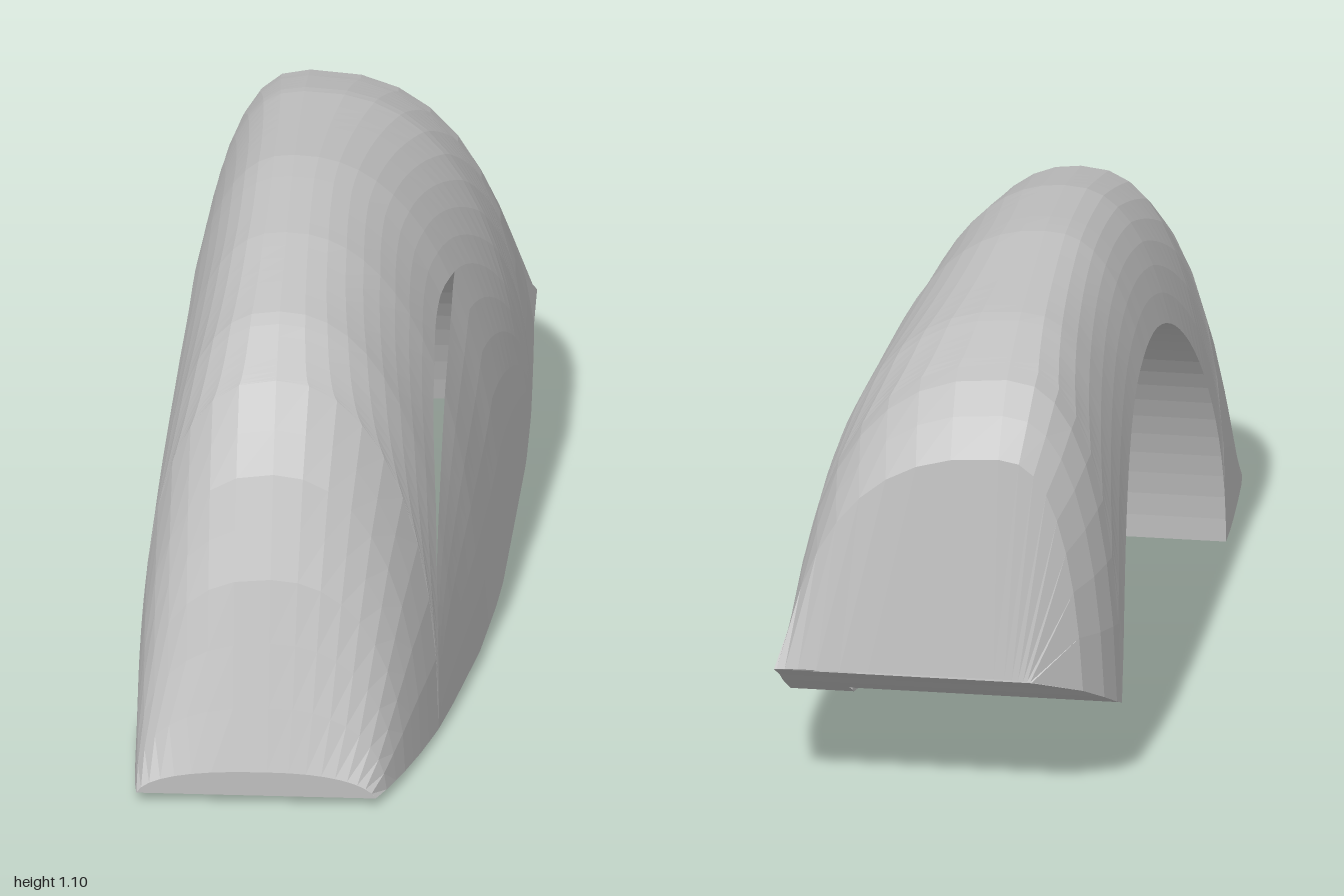
import * as THREE from 'three';

// Stations along z: z, crown height, left x, right x, floor height, section base, right roundness
const PROFILE = [
  [1.0, 0.08, -0.405, 0.155, 0.02, 0, 2.3],
  [0.85, 0.50, -0.412, 0.21, 0.018, 0, 2.2],
  [0.75, 0.72, -0.415, 0.24, 0.015, 0, 2.2],
  [0.63, 0.89, -0.417, 0.272, 0.013, 0, 2.2],
  [0.48, 1.0, -0.408, 0.30, 0.01, 0, 2.2],
  [0.20, 1.07, -0.40, 0.345, 0.004, 0, 2.2],
  [-0.05, 1.095, -0.394, 0.37, 0, 0, 2.2],
  [-0.14, 1.1, -0.39, 0.38, 0.015, 0, 2.25],
  [-0.55, 1.065, -0.37, 0.411, 0.12, 0, 2.5],
  [-0.70, 1.025, -0.365, 0.415, 0.165, 0, 2.5],
  [-0.78, 1.0, -0.358, 0.416, 0.21, 0, 2.5],
  [-0.85, 0.94, -0.34, 0.418, 0.25, 0, 2.5],
  [-0.92, 0.86, -0.302, 0.422, 0.293, 0, 2.5],
  [-1.0, 0.345, -0.19, 0.41, 0.34, 0.34, 2.5],
];
const CROWN_X = -0.1;
const WALL_X = 0.265; // inner face of the side panel
const N_LEFT = 2.5; // roundness of the left half of the section
const ARCH = { z: -0.065, rz: 0.685, h: 0.8 };

function profileAt(z) {
  let i = 0;
  while (i < PROFILE.length - 2 && z < PROFILE[i + 1][0]) i++;
  const a = PROFILE[i], b = PROFILE[i + 1];
  const t = (a[0] - z) / (a[0] - b[0]);
  const [, top, xl, xr, floor, base, nRight] = a.map((v, k) => v + (b[k] - v) * t);
  return { z, top, xl, xr, floor, base, nRight };
}

// Point on the rounded section; angle 0 is the crown, positive goes to +x
function sectionPoint(p, angle) {
  const n = angle < 0 ? N_LEFT : p.nRight;
  const r = angle < 0 ? p.xl - CROWN_X : p.xr - CROWN_X;
  const s = Math.min(1, Math.abs(Math.sin(angle)));
  const c = Math.max(0, Math.cos(angle));
  return [CROWN_X + r * s ** (2 / n), p.base + (p.top - p.base) * c ** (2 / n), p.z];
}

function angleAtHeight(p, y, n) {
  const f = THREE.MathUtils.clamp((y - p.base) / (p.top - p.base), 0, 1);
  return Math.acos(f ** (n / 2));
}

// Everything needed at one station: cut angles and edge points
function station(z) {
  const p = profileAt(z);
  const k = (z - ARCH.z) / ARCH.rz;
  const arch = Math.abs(k) < 1 ? ARCH.h * Math.sqrt(1 - k * k) : 0;
  const cut = Math.max(arch, p.floor);
  const left = -angleAtHeight(p, cut, N_LEFT);
  const shellEnd = angleAtHeight(p, cut, p.nRight);
  const bottom = angleAtHeight(p, p.floor, p.nRight);
  let panelStart = shellEnd;
  if (arch > p.floor) {
    const f = Math.min(1, (WALL_X - CROWN_X) / (p.xr - CROWN_X));
    panelStart = Math.min(bottom, Math.max(shellEnd, Math.asin(f ** (p.nRight / 2))));
  }
  return { p, cut, left, shellEnd, panelStart, bottom };
}

// Surface through rows of points
function loft(rows) {
  const w = rows[0].length, index = [];
  for (let i = 0; i < rows.length - 1; i++) {
    for (let j = 0; j < w - 1; j++) {
      const a = i * w + j, b = a + 1, d = a + w, c = d + 1;
      index.push(a, b, c, a, c, d);
    }
  }
  const g = new THREE.BufferGeometry();
  g.setAttribute('position', new THREE.Float32BufferAttribute(rows.flat(2), 3));
  g.setIndex(index);
  g.computeVertexNormals();
  return g;
}

const range = (n, f) => Array.from({ length: n + 1 }, (_, i) => f(i / n));
const arc = (s, from, to, n) => range(n, t => sectionPoint(s.p, from + (to - from) * t));

export function createModel() {
  const model = new THREE.Group();
  model.name = 'archedShell';
  const grey = new THREE.MeshStandardMaterial({ color: 0xbfbfbf });
  grey.name = 'lightGrey';
  grey.flatShading = true;
  grey.side = THREE.DoubleSide;

  const add = (name, rows) => {
    const mesh = new THREE.Mesh(loft(rows), grey);
    mesh.name = name;
    model.add(mesh);
  };

  // Stations: front foot, arch (evenly spaced round the curve), back foot
  const archZ = range(40, t => ARCH.z + ARCH.rz * Math.cos(0.02 + 2.885 * t));
  const stations = [1, 0.95, 0.9, 0.85, 0.8, 0.75, 0.69, ...archZ, -0.78, -0.85, -0.92, -1].map(station);

  // Rounded outer shell, open over the arch
  add('outerShell', stations.map(s => [
    ...arc(s, s.left, 0, 8), ...arc(s, 0, s.shellEnd, 9).slice(1),
  ]));

  // Side panel below the slit
  add('sidePanel', stations.map(s => arc(s, s.panelStart, s.bottom, 6)));

  // Inner face of the side panel
  const inArch = stations.filter(s => s.cut > s.p.floor);
  add('panelInnerFace', inArch.map(s => {
    const top = Math.min(s.cut, sectionPoint(s.p, s.panelStart)[1]);
    const x = Math.min(WALL_X, sectionPoint(s.p, s.bottom)[0]);
    return [[x, s.p.floor, s.p.z], [x, Math.max(top, s.p.floor), s.p.z]];
  }));

  // Tunnel ceiling together with the soles of both feet
  add('tunnelAndSoles', stations.map(s => {
    const l = sectionPoint(s.p, s.left), r = sectionPoint(s.p, s.shellEnd);
    return [[Math.min(WALL_X, r[0]), s.cut, s.p.z], [l[0], s.cut, s.p.z]];
  }));

  // Underside of the side panel
  add('panelUnderside', stations.map(s => {
    const x = sectionPoint(s.p, s.bottom)[0];
    return [[x, s.p.floor, s.p.z], [Math.min(WALL_X, x), s.p.floor, s.p.z]];
  }));

  // Narrow front lip closing the toe
  const toe = arc(stations[0], stations[0].left, stations[0].shellEnd, 16);
  add('frontLip', [toe.map(([x, , z]) => [x, stations[0].p.floor, z]), toe]);

  return model;
}
